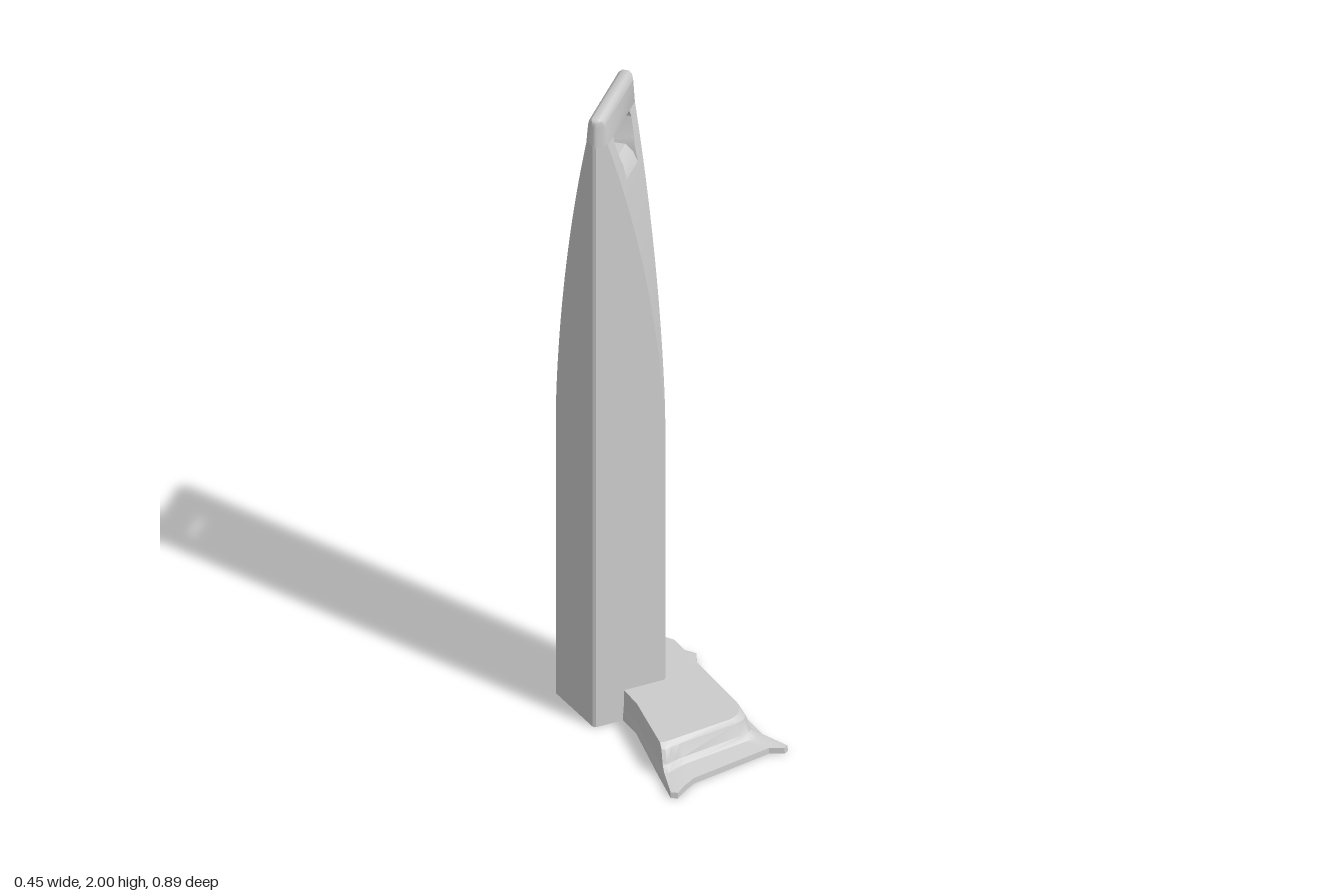
import * as THREE from 'three';
import { toCreasedNormals } from 'three/addons/utils/BufferGeometryUtils.js';

const material = new THREE.MeshStandardMaterial({ color: 0xcccccc, side: THREE.DoubleSide });

// Skin a stack of rings (arrays of [x, y, z]) and close the chosen ends
function loft(name, rings, { top = true, bottom = false, crease = 0.5 } = {}) {
  const n = rings[0].length, index = [];
  for (let r = 0; r < rings.length - 1; r++) {
    for (let i = 0; i < n; i++) {
      const a = r * n + i, b = r * n + (i + 1) % n;
      index.push(a, a + n, b, b, a + n, b + n);
    }
  }
  const cap = (r, up) => {
    const flat = rings[r].map(([x, , z]) => new THREE.Vector2(x, z));
    for (const [i, j, k] of THREE.ShapeUtils.triangulateShape(flat, [])) {
      const a = flat[i], b = flat[j].clone().sub(a), c = flat[k].clone().sub(a);
      const facesUp = b.y * c.x - b.x * c.y > 0;
      const o = r * n;
      if (facesUp === up) index.push(o + i, o + j, o + k);
      else index.push(o + i, o + k, o + j);
    }
  };
  if (top) cap(rings.length - 1, true);
  if (bottom) cap(0, false);
  const geometry = new THREE.BufferGeometry();
  geometry.setAttribute('position', new THREE.Float32BufferAttribute(rings.flat(2), 3));
  geometry.setIndex(index);
  const mesh = new THREE.Mesh(toCreasedNormals(geometry, crease), material);
  mesh.name = name;
  return mesh;
}

// Tower plan: s runs along the ridge diagonal, p across it
const MID = [-0.101, -0.152], ALONG = [0.113, -0.12], ACROSS = [0.122, 0.114];
// Fraction of the square left after the two sweeping corner cuts
const taper = y => Math.min(0.97, Math.max(0.15, 1 - 0.6 * Math.max(0, y - 0.75) ** 2));

// Slice of the tower between s0 and s1 at height y
function section(y, s0 = -0.97, s1 = 0.97, f = taper(y)) {
  const knee = s => THREE.MathUtils.clamp(s, s0, s1);
  const side = [s0, knee(f - 1), knee(1 - f), s1].map(s => [s, Math.min(f, 1 - Math.abs(s))]);
  const loop = [...side.map(([s, p]) => [s, -p]), ...side.reverse()];
  return loop.map(([s, p]) => [
    MID[0] + s * ALONG[0] + p * ACROSS[0], y,
    MID[1] + s * ALONG[1] + p * ACROSS[1],
  ]);
}

function buildTower() {
  const tower = new THREE.Group();
  tower.name = 'tower';

  // Square shaft sweeping into a blade
  const heights = [0, 0.4];
  for (let i = 0; i <= 20; i++) heights.push(0.75 + i * 1.01 / 20);
  tower.add(loft('shaft', heights.map(y => section(y))));

  // Sloping sill below the opening
  tower.add(loft('openingSill', [
    section(1.76, -0.55, 0.55), section(1.79, -0.45, 0.45, 0.3), section(1.81, -0.4, 0.4, 0.16),
  ]));

  // Posts either side of the trapezoid opening
  const postSteps = [[1.76, 0.33], [1.81, 0.35], [1.83, 0.41], [1.89, 0.5], [1.915, 0.46]];
  tower.add(loft('openingPostLeft', postSteps.map(([y, s]) => section(y, s, 0.97))));
  tower.add(loft('openingPostRight', postSteps.map(([y, s]) => section(y, -0.97, -s))));

  // Rounded beam closing the frame
  tower.add(loft('topBeam', [
    section(1.91), section(1.975, -0.97, 0.97, 0.15), section(1.992, -0.95, 0.95, 0.12),
    section(2, -0.9, 0.9, 0.06),
  ], { bottom: true, crease: 0.8 }));
  return tower;
}

// Podium plan: [skirt x, skirt z, deck x, deck z]
const PLAN = [
  [-0.13, -0.445, -0.122, -0.432], [-0.10, -0.445, -0.1, -0.432], [0.1, -0.35, 0.085, -0.34],
  [0.2, -0.3, 0.108, -0.29], [0.228, -0.26, 0.13, -0.262], [0.19, -0.18, 0.145, -0.23],
  [0.19, 0.1, 0.145, 0.1], [0.188, 0.27, 0.145, 0.18], [0.225, 0.335, 0.135, 0.22],
  [0.21, 0.345, 0.12, 0.24], [0.17, 0.325, 0.09, 0.255], [-0.1, 0.385, -0.1, 0.285],
  [-0.14, 0.41, -0.13, 0.29], [-0.18, 0.442, -0.15, 0.293], [-0.197, 0.43, -0.16, 0.29],
  [-0.172, 0.3, -0.155, 0.26], [-0.12, 0.05, -0.118, 0.05], [-0.118, -0.28, -0.113, -0.28],
  [-0.135, -0.37, -0.13, -0.37],
];

function buildPodium() {
  const ring = (y, t) => PLAN.map(([ox, oz, dx, dz]) => [dx + (ox - dx) * t, y, dz + (oz - dz) * t]);
  // Thin skirt, sloped wall and raised deck, open underneath
  return loft('podium', [
    ring(0, 1), ring(0.018, 0.99), ring(0.03, 0.35), ring(0.045, 0.2),
    ring(0.085, 0.08), ring(0.098, -0.06),
  ]);
}

export function createModel() {
  const model = new THREE.Group();
  model.name = 'skyscraper';
  model.add(buildTower(), buildPodium());
  return model;
}
